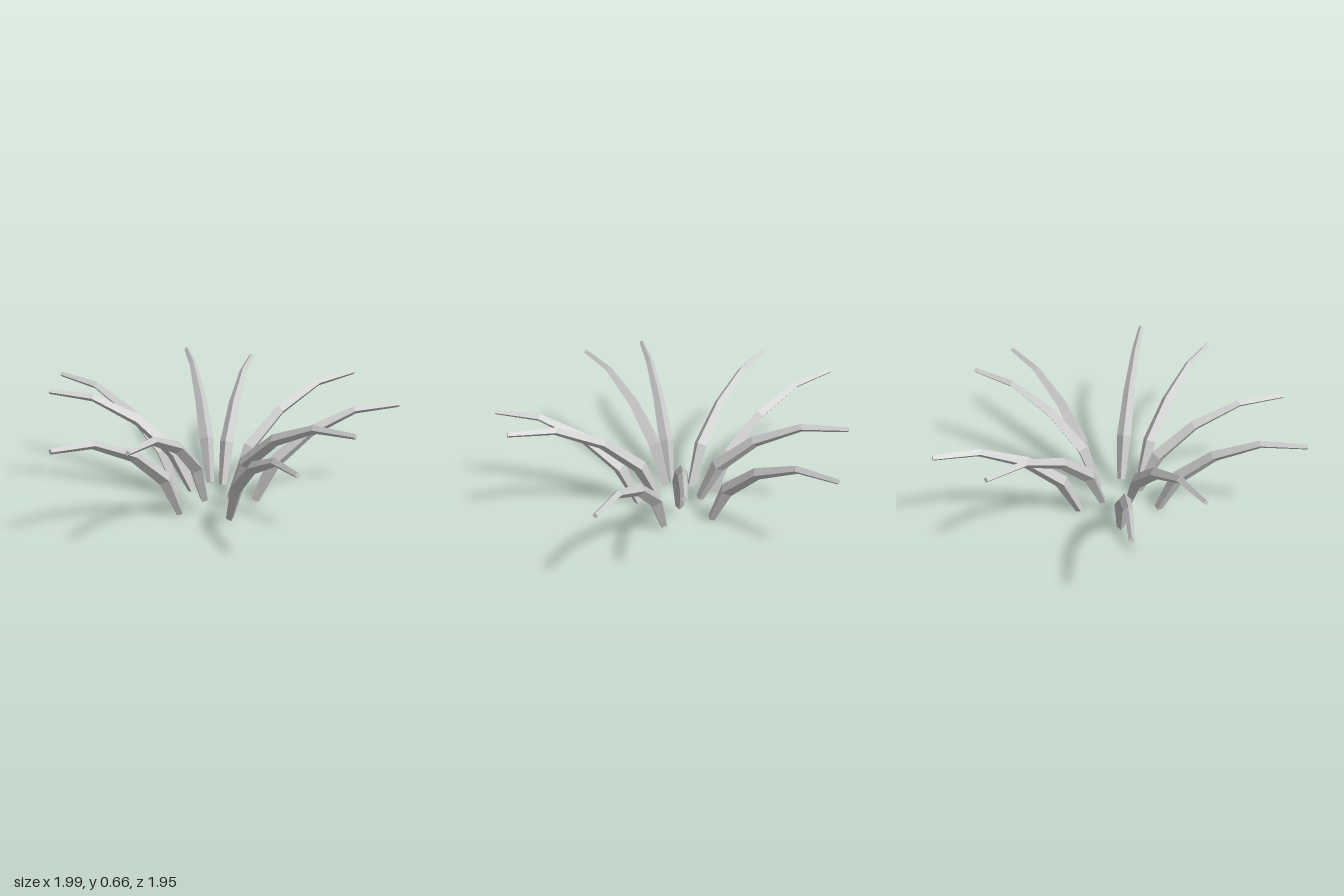
import * as THREE from 'three';

const SIDES = 4;
// Centre line of a blade from its base: outward distance, height, radius
const SPINE = [
  [0, 0, 0.023],
  [0.103, 0.23, 0.041],
  [0.303, 0.415, 0.033],
  [0.552, 0.538, 0.0225],
  [0.8, 0.564, 0.015],
];

// Four-sided tapered blade, ridge on top, with its own reach and rise
function bladeGeometry(reach, rise) {
  const pos = [];
  const idx = [];
  const pts = SPINE.map(([x, y]) => new THREE.Vector2(x * reach, y * rise));
  const last = pts.length - 1;
  pts.forEach((p, k) => {
    // Ring across the average direction of the neighbouring segments
    const t = new THREE.Vector2();
    if (k > 0) t.add(p.clone().sub(pts[k - 1]).normalize());
    if (k < last) t.add(pts[k + 1].clone().sub(p).normalize());
    t.normalize();
    for (let j = 0; j < SIDES; j++) {
      const a = (j / SIDES) * Math.PI * 2;
      const r = SPINE[k][2];
      const up = r * Math.cos(a);
      pos.push(p.x - t.y * up, p.y + t.x * up, r * Math.sin(a));
    }
  });
  for (let k = 0; k < last; k++) {
    for (let j = 0; j < SIDES; j++) {
      const a = k * SIDES + j;
      const b = k * SIDES + ((j + 1) % SIDES);
      idx.push(a, b, a + SIDES, b, b + SIDES, a + SIDES);
    }
  }
  // End caps
  const tip = last * SIDES;
  for (let j = 1; j < SIDES - 1; j++) {
    idx.push(0, j + 1, j, tip, tip + j, tip + j + 1);
  }
  const g = new THREE.BufferGeometry();
  g.setAttribute('position', new THREE.Float32BufferAttribute(pos, 3));
  g.setIndex(idx);
  const flat = g.toNonIndexed();
  flat.computeVertexNormals();
  return flat;
}

// Blades of each ring: heading in degrees, reach, rise
const OUTER = [
  [18, 0.988, 0.977],
  [90, 1, 0.99],
  [162, 1.025, 1.025],
  [233.7, 0.99, 1],
  [306, 0.98, 0.99],
];
const INNER = [
  [42.3, 1, 1],
  [114.2, 1.008, 1],
  [186, 0.993, 0.973],
  [257.8, 1, 0.995],
  [330.2, 1.02, 1.015],
];

export function createModel() {
  const model = new THREE.Group();
  model.name = 'plant';
  const material = new THREE.MeshStandardMaterial({ color: 0xcccccc, flatShading: true });

  function addRing(name, blades, radius, x, y) {
    const ring = new THREE.Group();
    ring.name = name;
    ring.position.set(x, y, 0.063);
    for (const [deg, reach, rise] of blades) {
      const blade = new THREE.Mesh(bladeGeometry(reach, rise), material);
      blade.name = 'blade';
      const a = THREE.MathUtils.degToRad(deg);
      blade.rotation.y = a;
      blade.position.set(Math.cos(a) * radius, 0, -Math.sin(a) * radius);
      ring.add(blade);
    }
    model.add(ring);
  }
  addRing('outerBlades', OUTER, 0.238, 0.015, 0.01);
  addRing('innerBlades', INNER, 0.125, 0.02, 0.073);
  return model;
}
